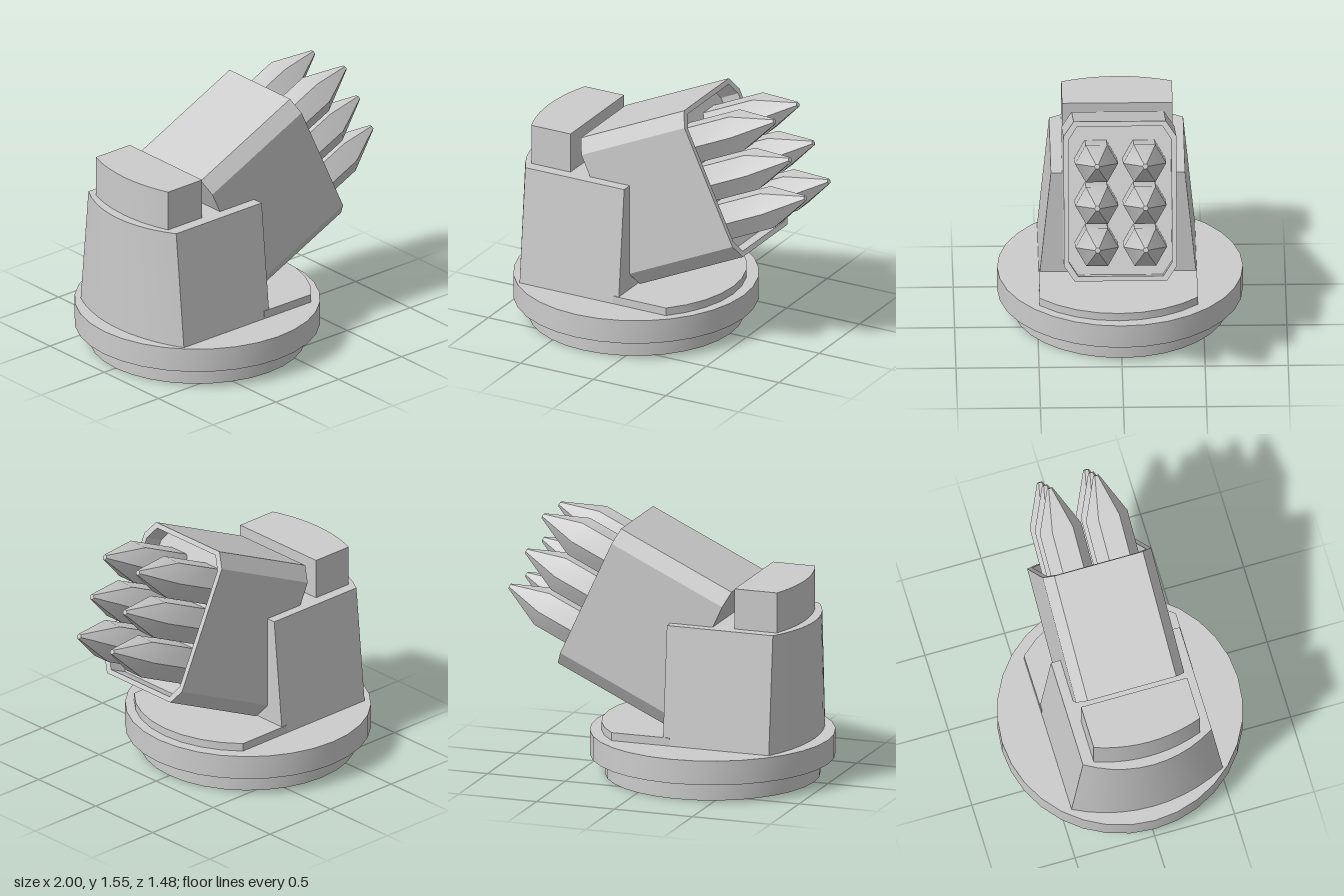
import * as THREE from 'three';
import { toCreasedNormals } from 'three/addons/utils/BufferGeometryUtils.js';

const material = new THREE.MeshStandardMaterial({ color: 0xcccccc });

function addMesh(parent, name, geometry, x = 0, y = 0, z = 0) {
  const mesh = new THREE.Mesh(toCreasedNormals(geometry, 0.45), material);
  mesh.name = name;
  mesh.position.set(x, y, z);
  parent.add(mesh);
  return mesh;
}

const extrude = (shape, depth) =>
  new THREE.ExtrudeGeometry(shape, { depth, bevelEnabled: false });

// Plan outline extruded upwards
const slab = (points, height) =>
  extrude(new THREE.Shape(points), height).rotateX(-Math.PI / 2);

// Outline with a straight front edge and a rear edge bowed backwards
function bowedOutline(front, corner, back, half, steps = 10) {
  const sag = corner - back;
  const radius = (half * half + sag * sag) / (2 * sag);
  const sweep = Math.asin(half / radius);
  const points = [new THREE.Vector2(front, -half), new THREE.Vector2(front, half)];
  for (let i = 0; i <= steps; i++) {
    const a = sweep * (1 - (2 * i) / steps);
    points.push(new THREE.Vector2(back + radius * (1 - Math.cos(a)), radius * Math.sin(a)));
  }
  return points;
}

// Rectangle with cut corners
function cutCornerPoints(w, h, cw, ch) {
  return [
    [w, h - ch], [w - cw, h], [cw - w, h], [-w, h - ch],
    [-w, ch - h], [cw - w, -h], [w - cw, -h], [w, ch - h],
  ].map(([x, y]) => new THREE.Vector2(x, y));
}

export function createModel() {
  const model = new THREE.Group();
  model.name = 'launcherTurret';

  // Round base
  addMesh(model, 'baseFoot', new THREE.CylinderGeometry(0.65, 0.65, 0.12, 32), -0.26, 0.06, 0);
  addMesh(model, 'baseDisc', new THREE.CylinderGeometry(0.74, 0.74, 0.15, 32), -0.26, 0.195, 0);

  // Floor plate with rounded front
  const plate = [new THREE.Vector2(-0.15, 0.475), new THREE.Vector2(-0.15, -0.475)];
  for (let i = 0; i <= 8; i++) {
    const a = -0.785 + (1.57 * i) / 8;
    plate.push(new THREE.Vector2(-0.26 + 0.675 * Math.cos(a), 0.675 * Math.sin(a)));
  }
  addMesh(model, 'floorPlate', slab(plate, 0.05), 0, 0.27, 0.015);

  // Tapered rear body: side walls lean in towards the top
  const bodyHeight = 0.73;
  const body = slab(bowedOutline(-0.11, -0.79, -0.91, 0.475), bodyHeight);
  const pos = body.attributes.position;
  for (let i = 0; i < pos.count; i++) {
    pos.setZ(i, pos.getZ(i) * (1 - 0.15 * (pos.getY(i) / bodyHeight)));
  }
  addMesh(model, 'rearBody', body, 0, 0.27, 0.015);

  // Raised block on top of the body
  addMesh(model, 'topBlock', slab(bowedOutline(-0.52, -0.79, -0.85, 0.333), 0.25), 0, 1, 0.012);

  // Tilted launcher box, built along its own x axis
  const launcher = new THREE.Group();
  launcher.name = 'launcher';
  launcher.position.set(0.077, 0.939, 0.01);
  launcher.rotation.z = 0.434;
  model.add(launcher);

  const inner = cutCornerPoints(0.31, 0.452, 0.054, 0.082);
  const shell = new THREE.Shape(cutCornerPoints(0.34, 0.482, 0.062, 0.09));
  shell.holes.push(new THREE.Path(inner));
  addMesh(launcher, 'launcherShell', extrude(shell, 0.782).rotateY(Math.PI / 2), -0.391, 0, 0);
  addMesh(launcher, 'launcherCore',
    extrude(new THREE.Shape(inner), 0.652).rotateY(Math.PI / 2), -0.391, 0, 0);

  // Six hexagonal missiles: shaft and tapered nose in one profile
  const profile = [[0, 0], [0.13, 0], [0.13, 0.385], [0.017, 0.638], [0, 0.638]]
    .map(([r, y]) => new THREE.Vector2(r, y));
  const missile = new THREE.LatheGeometry(profile, 6).rotateZ(-Math.PI / 2);
  for (const row of [-1, 0, 1]) {
    for (const side of [-1, 1]) {
      addMesh(launcher, 'missile', missile, 0.25, row * 0.253 - 0.006, side * 0.145);
    }
  }
  return model;
}
